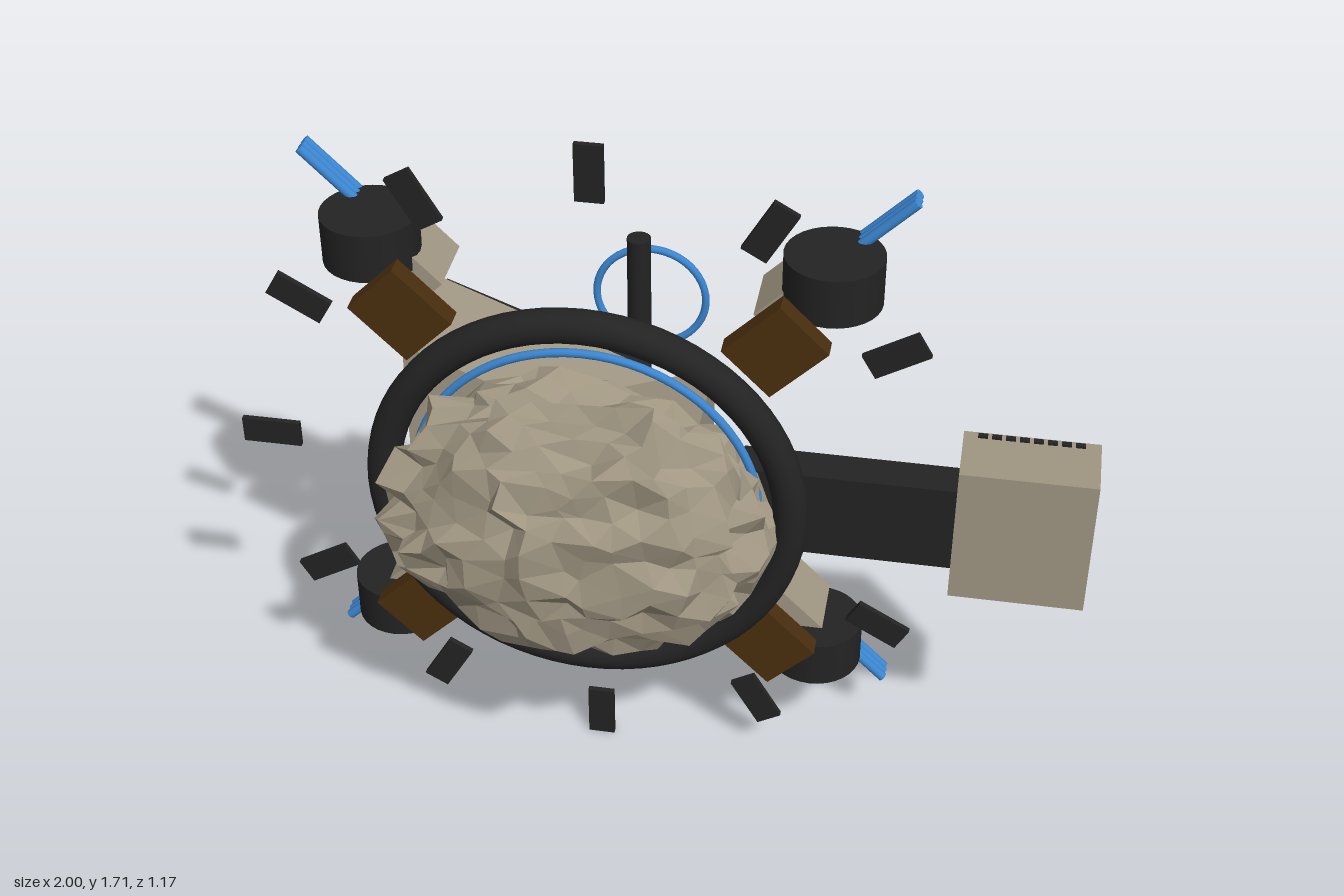
import * as THREE from 'three';
import { mergeVertices } from 'three/addons/utils/BufferGeometryUtils.js';

export function createModel() {
  const root = new THREE.Group();
  root.name = 'spaceStation';
  const mat = (name, color, flat = false) => {
    const m = new THREE.MeshStandardMaterial({ color, flatShading: flat });
    m.name = name;
    return m;
  };
  const stone = mat('stone', 0xa09682, true);
  const black = mat('black', 0x232323);
  const brown = mat('brown', 0x4a2e0e);
  const blue = mat('blue', 0x3b86d0);

  // Everything is arranged around the hub axis
  const CX = -0.15, CY = 0.858;
  const hub = new THREE.Group();
  hub.name = 'hub';
  hub.position.set(CX, CY, 0);
  root.add(hub);

  const add = (parent, name, geo, m, x = 0, y = 0, z = 0) => {
    const mesh = new THREE.Mesh(geo, m);
    mesh.name = name;
    mesh.position.set(x, y, z);
    parent.add(mesh);
    return mesh;
  };
  const box = (w, h, d) => new THREE.BoxGeometry(w, h, d);

  // Jagged asteroid: a sphere with seeded displacement of each shared vertex
  let seed = 7;
  const rand = () => {
    seed = (seed * 1664525 + 1013904223) % 4294967296;
    return seed / 4294967296 - 0.5;
  };
  const ico = new THREE.IcosahedronGeometry(1, 6);
  ico.deleteAttribute('normal');
  ico.deleteAttribute('uv');
  const rock = mergeVertices(ico, 1e-4);
  const p = rock.attributes.position;
  for (let i = 0; i < p.count; i++) {
    const k = 1 + rand() * 0.17;
    p.setXYZ(i,
      (p.getX(i) * k + rand() * 0.1) * 0.44,
      (p.getY(i) * k + rand() * 0.1) * 0.345,
      (p.getZ(i) * k + rand() * 0.1) * 0.225);
  }
  rock.computeVertexNormals();
  add(hub, 'asteroid', rock, stone, 0, 0, 0.34);

  // Main ring and its inner light ring
  add(hub, 'mainRing', new THREE.TorusGeometry(0.473, 0.04, 16, 72), black, 0, 0, 0.27);
  add(hub, 'innerRing', new THREE.TorusGeometry(0.402, 0.01, 10, 72), blue, 0, 0, 0.27);

  // Twelve plates floating round the ring
  for (let i = 0; i < 12; i++) {
    const a = i * Math.PI / 6;
    const plate = add(hub, 'orbitPlate', box(0.14, 0.065, 0.014), black,
      Math.cos(a) * 0.785, Math.sin(a) * 0.785, 0.146);
    plate.rotation.z = a;
  }

  // Four diagonal pods: bracket, housing, drum and three tubes
  for (const sx of [-1, 1]) for (const sy of [-1, 1]) {
    const pod = new THREE.Group();
    pod.name = 'pod';
    hub.add(pod);
    const angle = Math.atan2(sy, sx);
    add(pod, 'bracket', box(0.18, 0.155, 0.05), brown,
      sx * 0.42, sy * 0.425, 0.205).rotation.z = angle;
    add(pod, 'housing', box(0.2, 0.112, 0.163), stone,
      sx * 0.465, sy * 0.465, 0.02).rotation.z = angle;
    add(pod, 'drum', new THREE.CylinderGeometry(0.113, 0.113, 0.12, 32), black,
      sx * 0.525, sy * 0.525, 0.06);
    for (let i = 0; i < 3; i++) {
      add(pod, 'tube', new THREE.CylinderGeometry(0.012, 0.012, 0.22, 10), blue,
        sx * 0.617, sy * 0.617, -0.04 + i * 0.02).rotation.z = angle - Math.PI / 2;
    }
  }

  // Wedges: triangular prisms along z, flat side at x0 and apex at x1
  const wedge = (name, m, x0, x1, height, z0, z1) => {
    const s = new THREE.Shape();
    s.moveTo(x0, -height / 2);
    s.lineTo(x1, 0);
    s.lineTo(x0, height / 2);
    s.closePath();
    const g = new THREE.ExtrudeGeometry(s, { depth: z1 - z0, bevelEnabled: false });
    add(root, name, g, m, 0, CY, z0);
  };
  wedge('innerWedge', stone, 0.10, -0.39, 0.36, -0.035, 0.2);
  wedge('outerWedge', stone, -0.61, 0.02, 0.515, -0.2, 0.105);
  wedge('rearWedge', black, -0.605, -0.10, 0.39, -0.28, -0.2);

  // Side arm with end block and roof vents
  add(root, 'arm', box(0.5, 0.22, 0.09), black, 0.45, CY, 0.2);
  add(root, 'endBlock', box(0.307, 0.35, 0.163), stone, 0.843, CY, 0.183);
  for (let i = 0; i < 8; i++) {
    add(root, 'vent', box(0.022, 0.008, 0.012), black, 0.733 + i * 0.031, 1.035, 0.117);
  }

  // Mast and antenna ring behind the station
  add(hub, 'mast', new THREE.CylinderGeometry(0.03, 0.03, 0.555, 20), black, 0, 0, -0.415);
  add(hub, 'antennaRing', new THREE.TorusGeometry(0.143, 0.01, 10, 48), blue, 0, 0, -0.58);

  return root;
}
